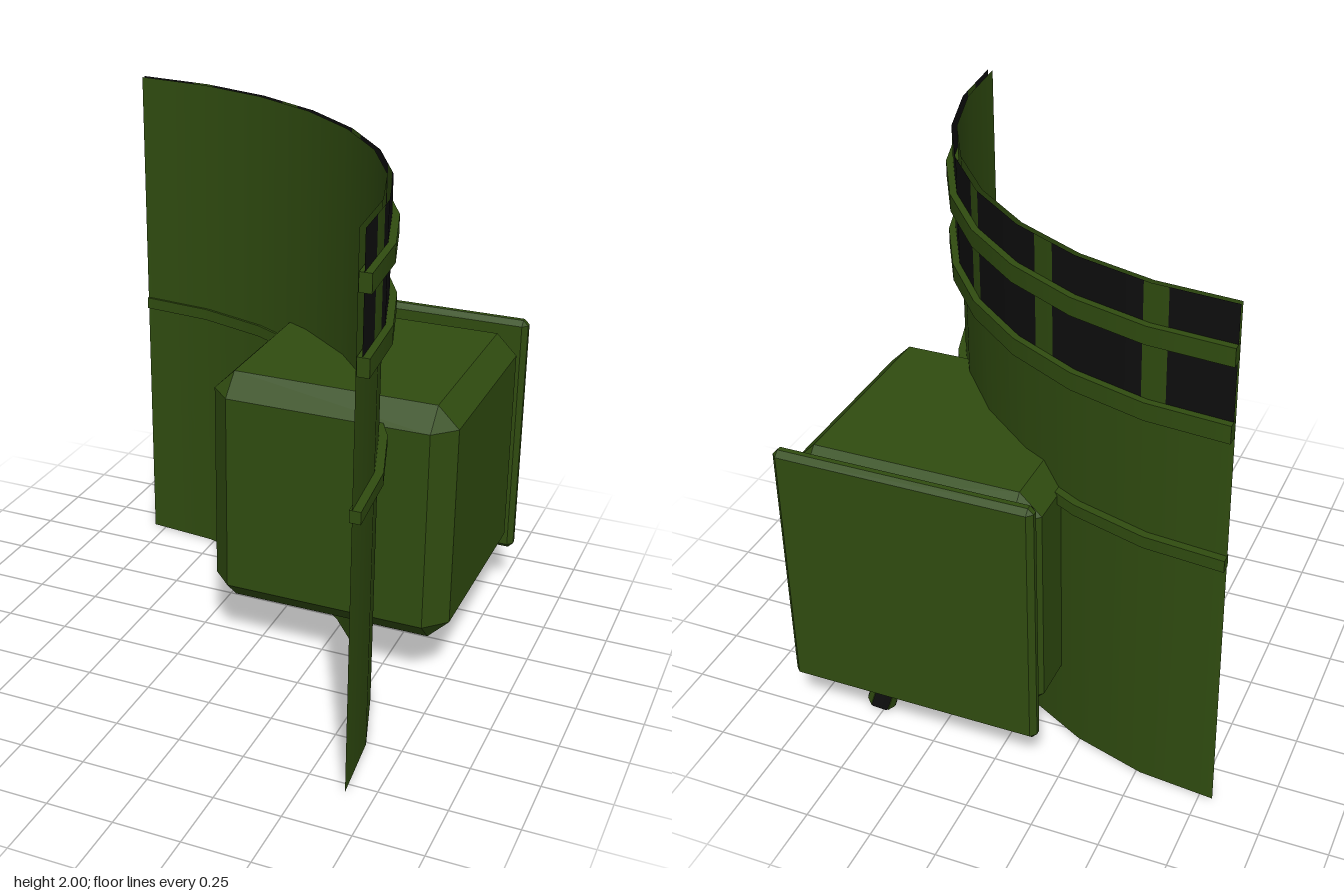
import * as THREE from 'three';
import { mergeGeometries } from 'three/addons/utils/BufferGeometryUtils.js';
import { ConvexGeometry } from 'three/addons/geometries/ConvexGeometry.js';

const SEGMENTS = 8;
const STEP = Math.PI / 2 / SEGMENTS;

// Flat-faced box with every edge chamfered, given by its two extreme corners
function chamferedBox(min, max, bevel) {
  const points = [];
  for (const sx of [0, 1]) for (const sy of [0, 1]) for (const sz of [0, 1]) {
    const signs = [sx, sy, sz];
    for (let outer = 0; outer < 3; outer++) {
      const p = signs.map((s, i) => {
        const inset = i === outer ? 0 : bevel;
        return s ? max[i] - inset : min[i] + inset;
      });
      points.push(new THREE.Vector3(...p));
    }
  }
  return new ConvexGeometry(points);
}

// Quarter ring with a rectangular section and closed ends
function quarterRing(inner, outer, y0, y1) {
  const corners = [[inner, y0], [outer, y0], [outer, y1], [inner, y1]].map((c) => new THREE.Vector2(...c));
  const parts = corners.map((c, i) =>
    new THREE.LatheGeometry([c, corners[(i + 1) % 4]], SEGMENTS, Math.PI / 2, Math.PI / 2));
  const mid = (inner + outer) / 2;
  const startCap = new THREE.PlaneGeometry(outer - inner, y1 - y0).translate(mid, (y0 + y1) / 2, 0);
  const endCap = startCap.clone().rotateY(Math.PI / 2);
  endCap.rotateY(0);
  return mergeGeometries([...parts, startCap, endCap]);
}

// Curved band of dark panels separated by narrow upright strips (material 0 dark, 1 green)
function panelBand(radius, y0, y1) {
  const rad = Math.PI / 180;
  const strips = [0, 1, 2, 3, 4].map((i) => (7.4 + 18 * i) * rad);
  const half = 1.7 * rad;
  const angles = [];
  for (let i = 0; i <= SEGMENTS; i++) angles.push(i * STEP);
  strips.forEach((s) => angles.push(s - half, s + half));
  angles.sort((a, b) => a - b);

  const positions = [], normals = [], index = [];
  const geometry = new THREE.BufferGeometry();
  angles.forEach((a, i) => {
    // keep in-between points on the straight facets
    const offset = a - (Math.min(Math.floor(a / STEP + 1e-6), SEGMENTS - 1) + 0.5) * STEP;
    const r = radius * Math.cos(STEP / 2) / Math.cos(offset);
    for (const y of [y0, y1]) {
      positions.push(r * Math.cos(a), y, -r * Math.sin(a));
      normals.push(Math.cos(a), 0, -Math.sin(a));
    }
    if (i === angles.length - 1) return;
    const k = i * 2, middle = (a + angles[i + 1]) / 2;
    index.push(k, k + 2, k + 3, k, k + 3, k + 1);
    geometry.addGroup(i * 6, 6, strips.some((s) => Math.abs(s - middle) < half) ? 1 : 0);
  });
  geometry.setAttribute('position', new THREE.Float32BufferAttribute(positions, 3));
  geometry.setAttribute('normal', new THREE.Float32BufferAttribute(normals, 3));
  geometry.setIndex(index);
  return geometry;
}

export function createModel() {
  const green = new THREE.MeshStandardMaterial({ color: 0x304c10, side: THREE.DoubleSide });
  green.name = 'olive green';
  const black = new THREE.MeshStandardMaterial({ color: 0x0e0e0e, side: THREE.DoubleSide });
  black.name = 'black';

  const model = new THREE.Group();
  model.name = 'wallSectionWithBox';
  const add = (parent, name, geometry, material) => {
    const mesh = new THREE.Mesh(geometry, material);
    mesh.name = name;
    parent.add(mesh);
    return mesh;
  };

  // Quarter-round wall, centred on its own axis
  const shell = new THREE.Group();
  shell.name = 'curvedShell';
  shell.position.set(-0.8, 0, 0.8);
  model.add(shell);
  add(shell, 'wall',
    new THREE.CylinderGeometry(1.45, 1.45, 2, SEGMENTS, 1, true, Math.PI / 2, Math.PI / 2).translate(0, 1, 0), green);
  add(shell, 'panelBand', panelBand(1.47, 1.56, 2), [black, green]);
  add(shell, 'upperRing', quarterRing(1.452, 1.495, 1.8, 1.865), green);
  add(shell, 'lowerRing', quarterRing(1.452, 1.495, 1.53, 1.595), green);
  add(shell, 'middleRing', quarterRing(1.44, 1.48, 1.03, 1.075), green);

  // Equipment box and its back cover
  add(model, 'box', chamferedBox([-0.16, 0.21, -0.74], [0.775, 1.145, 0.155], 0.08), green);
  add(model, 'backCover', chamferedBox([-0.18, 0.18, -0.795], [0.79, 1.175, -0.735], 0.02), green);

  // Short six-sided strut leaning outward under the box
  const strut = new THREE.Group();
  strut.name = 'strut';
  const foot = new THREE.Vector3(0.52, 0.012, -0.64);
  const head = new THREE.Vector3(0.45, 0.26, -0.595);
  strut.position.copy(foot).lerp(head, 0.5);
  strut.quaternion.setFromUnitVectors(new THREE.Vector3(0, 1, 0), head.clone().sub(foot).normalize());
  model.add(strut);
  const length = foot.distanceTo(head);
  const facing = Math.PI * 0.75;
  add(strut, 'strutBody',
    new THREE.CylinderGeometry(0.055, 0.055, length, 6).rotateY(facing + Math.PI / 6), black);
  for (let i = 0; i < 3; i++) {
    add(strut, 'strutStripe',
      new THREE.BoxGeometry(0.04, length, 0.004).translate(0, 0, 0.0485).rotateY(facing + i * Math.PI * 2 / 3), green);
  }
  return model;
}
